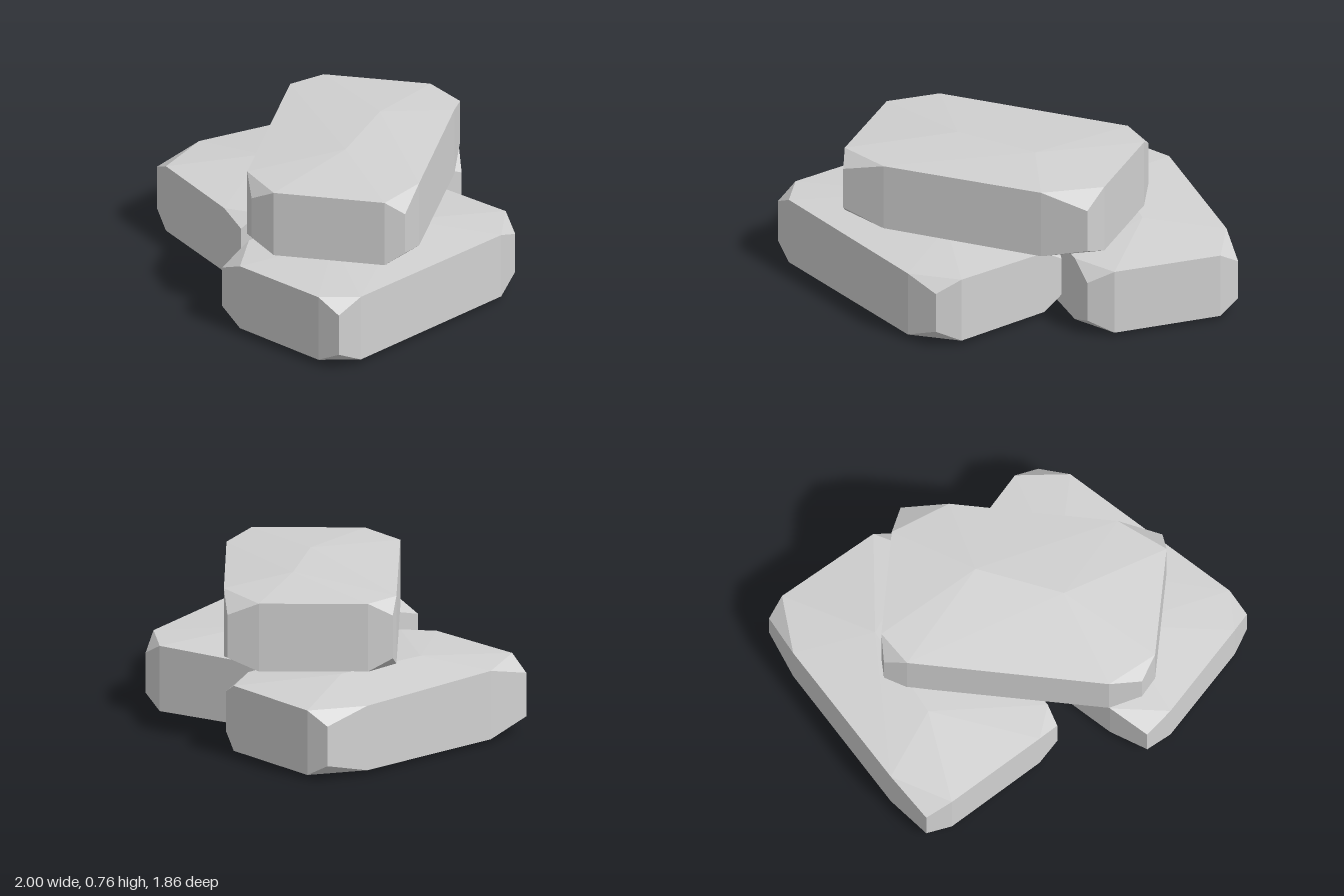
import * as THREE from 'three';
import { ConvexGeometry } from 'three/addons/geometries/ConvexGeometry.js';

const stone = new THREE.MeshStandardMaterial({ color: 0xd1d1d1 });
stone.name = 'pale grey stone';

// A slab is a rough box whose eight corners are cut off. Each corner lists
// [x, z] on one long edge, on the upright edge and on the next long edge,
// then the height of the top edge there. Crown points raise the two faces.
function slab(name, { corners, crown, bottom, belly }) {
  const points = [];
  const add = (x, y, z) => points.push(new THREE.Vector3(x, y, z));
  for (const [a, upright, b, top] of corners) {
    for (const [x, z] of [a, b]) {
      add(x, top, z);
      add(x, bottom, z);
    }
    add(upright[0], top - 0.065, upright[1]);
    add(upright[0], bottom + 0.06, upright[1]);
  }
  for (const [x, y, z] of crown) {
    add(x, y, z);
    add(x, belly, z);
  }
  const mesh = new THREE.Mesh(new ConvexGeometry(points), stone);
  mesh.name = name;
  return mesh;
}

export function createModel() {
  const group = new THREE.Group();
  group.name = 'stackedStones';

  group.add(
    // lower stone at the front
    slab('frontStone', {
      bottom: 0.028,
      belly: 0.005,
      corners: [
        [[-1, 0.61], [-1, 0.73], [-0.88, 0.775], 0.362],
        [[0.08, 0.925], [0.24, 0.895], [0.31, 0.79], 0.355],
        [[0.37, 0.29], [0.38, 0.18], [0.26, 0.11], 0.345],
        [[-0.67, -0.03], [-0.88, -0.04], [-0.93, 0.1], 0.358],
      ],
      crown: [[-0.5, 0.385, 0.35], [-0.1, 0.385, 0.48]],
    }),
    // lower stone at the back
    slab('backStone', {
      bottom: 0.022,
      belly: 0.002,
      corners: [
        [[-0.24, -0.82], [-0.16, -0.93], [0.08, -0.85], 0.365],
        [[0.8, -0.52], [1, -0.4], [0.99, -0.29], 0.345],
        [[0.76, 0.2], [0.66, 0.285], [0.52, 0.23], 0.348],
        [[-0.4, -0.16], [-0.48, -0.21], [-0.45, -0.33], 0.36],
      ],
      crown: [[0.08, 0.396, -0.48], [0.5, 0.392, -0.25]],
    }),
    // upper stone lying across the other two
    slab('topStone', {
      bottom: 0.39,
      belly: 0.375,
      corners: [
        [[-0.79, 0.2], [-0.79, 0.07], [-0.67, -0.04], 0.722],
        [[0.23, -0.42], [0.34, -0.45], [0.41, -0.35], 0.73],
        [[0.62, 0.13], [0.655, 0.28], [0.45, 0.39], 0.73],
        [[-0.3, 0.71], [-0.51, 0.775], [-0.575, 0.7], 0.722],
      ],
      crown: [[-0.26, 0.76, 0.25], [0.17, 0.765, 0.15]],
    }),
  );
  return group;
}
